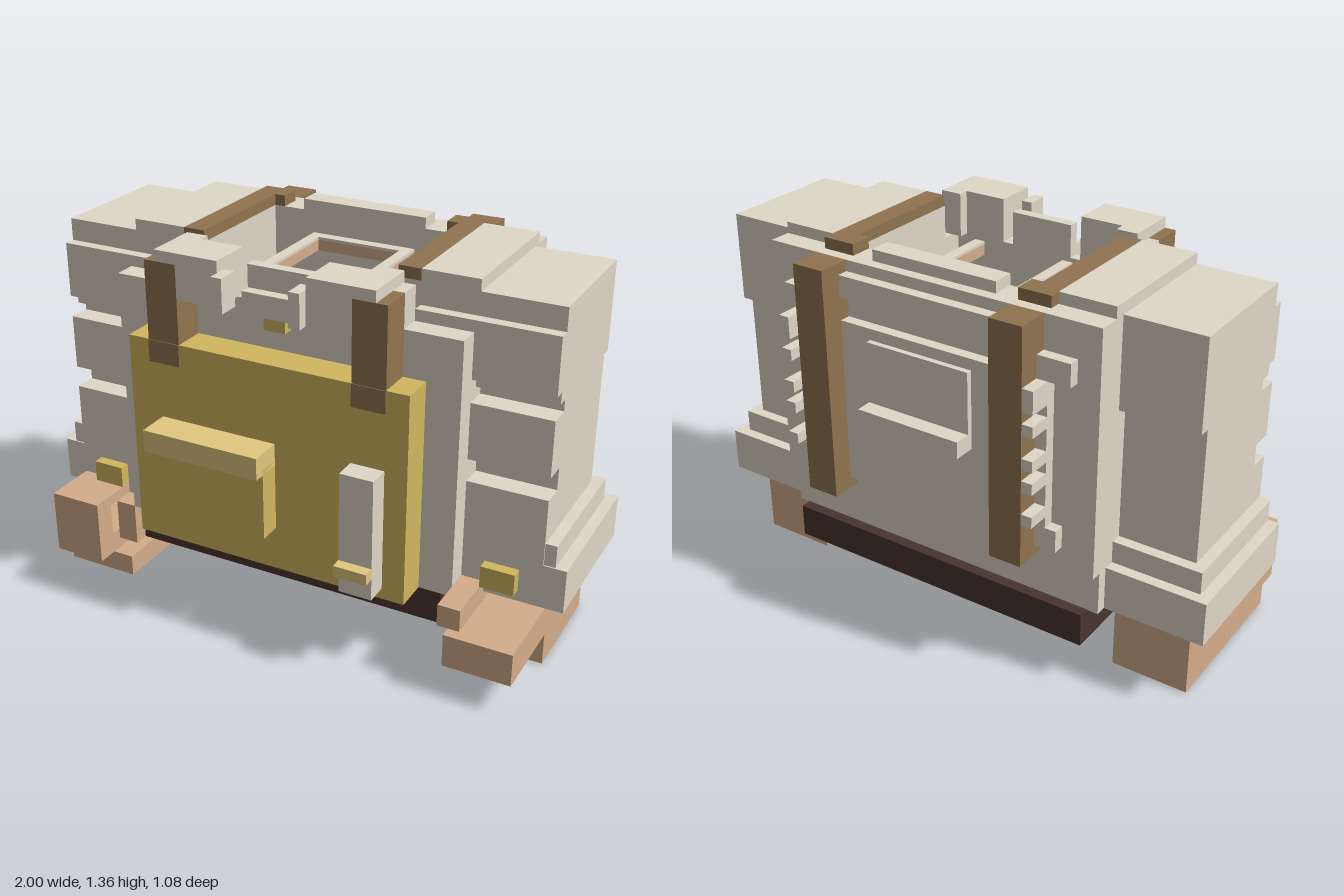
import * as THREE from 'three';

const mat = (name, color) => {
  const m = new THREE.MeshStandardMaterial({ color });
  m.name = name;
  return m;
};

export function createModel() {
  const root = new THREE.Group();
  root.name = 'armouredPack';
  const stone = mat('warm grey', 0xe0d7c7);
  const gold = mat('ochre', 0xd2b75f);
  const paleGold = mat('pale ochre', 0xe2c77f);
  const leather = mat('strap brown', 0x90744f);
  const tan = mat('hand tan', 0xd5ad8b);
  const dark = mat('dark brown', 0x49342d);

  // Box given by its extents on each axis
  const box = (name, m, x0, x1, y0, y1, z0, z1) => {
    const g = new THREE.BoxGeometry(x1 - x0, y1 - y0, z1 - z0);
    const mesh = new THREE.Mesh(g, m);
    mesh.position.set((x0 + x1) / 2, (y0 + y1) / 2, (z0 + z1) / 2);
    mesh.name = name;
    root.add(mesh);
  };
  // Same box on both sides of x = 0
  const pair = (name, m, x0, x1, ...r) => {
    box(name + 'Left', m, x0, x1, ...r);
    box(name + 'Right', m, -x1, -x0, ...r);
  };

  // Underside slab, also the floor of the hollow body
  box('floorSlab', dark, -0.6, 0.6, 0.16, 0.282, -0.42, 0.298);

  // Hollow torso walls
  box('frontWall', stone, -0.64, 0.64, 0.28, 1.2, 0.26, 0.3);
  pair('frontCorner', stone, 0.36, 0.64, 0.28, 1.2, 0.18, 0.3);
  pair('sideWall', stone, 0.36, 0.64, 0.28, 1.32, -0.38, 0.18);
  pair('shoulderCap', stone, 0.44, 0.64, 1.32, 1.36, -0.34, 0.18);
  pair('shoulderFront', stone, 0.44, 0.64, 1.2, 1.24, 0.18, 0.22);
  box('backWall', stone, -0.64, 0.64, 0.44, 1.32, -0.42, -0.3);
  box('backFoot', stone, -0.64, 0.64, 0.28, 0.44, -0.38, -0.3);
  box('backCollar', stone, -0.24, 0.24, 1.32, 1.36, -0.38, -0.3);

  // Grey-topped tan frame inside the opening
  pair('innerRail', tan, 0.16, 0.2, 1.19, 1.23, -0.3, 0.14);
  pair('innerRailTop', stone, 0.16, 0.2, 1.23, 1.24, -0.3, 0.14);
  box('innerShelf', stone, -0.16, 0.16, 1.08, 1.19, -0.3, -0.26);
  box('innerShelfTrim', tan, -0.16, 0.16, 1.19, 1.23, -0.3, -0.26);
  box('innerShelfTop', stone, -0.16, 0.16, 1.23, 1.24, -0.3, -0.26);

  // Front collar blocks, caps and clasp
  pair('collarBlock', stone, 0.16, 0.32, 1.2, 1.36, 0.26, 0.42);
  pair('collarCap', stone, 0.32, 0.4, 1.32, 1.36, 0.22, 0.42);
  pair('collarSide', stone, 0.32, 0.44, 1.2, 1.32, 0.22, 0.3);
  pair('claspProng', stone, 0.12, 0.16, 1.2, 1.32, 0.38, 0.46);
  box('clasp', stone, -0.12, 0.12, 1.16, 1.24, 0.26, 0.34);
  box('claspTop', stone, -0.12, 0.12, 1.24, 1.32, 0.26, 0.3);
  box('claspKnob', gold, -0.04, 0.04, 1.12, 1.16, 0.3, 0.34);

  // Front panel with pocket and side holder
  box('frontPanel', gold, -0.52, 0.52, 0.28, 1.04, 0.3, 0.42);
  box('pocket', gold, -0.4, 0.04, 0.44, 0.7, 0.42, 0.5);
  box('pocketFlap', paleGold, -0.4, 0.04, 0.68, 0.76, 0.42, 0.54);
  box('holder', stone, 0.32, 0.44, 0.32, 0.76, 0.42, 0.5);
  box('holderBand', paleGold, 0.32, 0.44, 0.4, 0.44, 0.5, 0.54);

  // Straps running from front over the top and down the back
  pair('strapFront', leather, 0.32, 0.44, 1.04, 1.32, 0.3, 0.42);
  pair('strapFrontEnd', leather, 0.32, 0.44, 0.96, 1.04, 0.418, 0.423);
  pair('strapTop', leather, 0.36, 0.44, 1.32, 1.36, -0.38, 0.18);
  pair('strapTopRear', leather, 0.32, 0.36, 1.32, 1.36, -0.38, -0.3);
  pair('strapBack', leather, 0.32, 0.44, 0.48, 1.32, -0.54, -0.42);

  // Back plate with raised panel, ledge, top bar and side brackets
  box('backPlate', stone, -0.48, 0.48, 0.52, 1.12, -0.46, -0.42);
  box('backPanel', stone, -0.2, 0.2, 0.84, 1.08, -0.48, -0.46);
  box('backLedge', stone, -0.2, 0.2, 0.8, 0.86, -0.54, -0.46);
  box('backBar', stone, -0.32, 0.32, 1.2, 1.28, -0.46, -0.42);
  pair('upperBracket', stone, 0.44, 0.56, 1.12, 1.2, -0.46, -0.42);
  pair('lowerBracket', stone, 0.48, 0.52, 0.52, 0.6, -0.46, -0.42);

  // Teeth beside the back straps
  for (const [y0, y1] of [[1.04, 1.12], [0.96, 1], [0.84, 0.88], [0.76, 0.8], [0.64, 0.68]]) {
    box('toothLeft', stone, 0.48, 0.52, y0, y1, -0.54, -0.42);
    box('toothRight', stone, -0.48, -0.44, y0, y1, -0.54, -0.46);
  }

  // Arms with grooved fronts and stepped cuffs
  pair('armCore', stone, 0.64, 0.92, 0.44, 1.32, -0.26, 0.14);
  pair('armUpperBack', stone, 0.64, 0.92, 1, 1.32, -0.3, -0.26);
  pair('armTopFront', stone, 0.64, 0.92, 1.24, 1.32, 0.14, 0.18);
  for (const [y0, y1, z] of [[1.04, 1.24, 0.22], [1, 1.04, 0.18], [0.76, 0.96, 0.22], [0.44, 0.68, 0.22]])
    pair('armSegment', stone, 0.64, 0.92, y0, y1, 0.14, z);
  pair('cuffStep', stone, 0.64, 0.96, 0.44, 0.52, -0.3, 0.215);
  pair('cuff', stone, 0.64, 1, 0.28, 0.44, -0.34, 0.22);
  pair('cuffStud', gold, 0.72, 0.84, 0.32, 0.4, 0.22, 0.26);

  // Left hand: fingers held straight out
  box('palmLeft', tan, 0.64, 0.92, 0, 0.28, -0.26, 0.14);
  box('fingersLeft', tan, 0.68, 0.92, 0.12, 0.24, 0.14, 0.46);
  box('thumbLeft', tan, 0.64, 0.72, 0.24, 0.32, 0.18, 0.42);

  // Right hand: a fist curled around an open grip
  box('palmRight', tan, -0.92, -0.64, 0, 0.28, -0.26, 0.06);
  box('gripFloorRight', tan, -0.92, -0.64, 0, 0.08, 0.06, 0.34);
  box('gripBaseRight', tan, -0.92, -0.72, 0.08, 0.16, 0.06, 0.34);
  box('fingersRight', tan, -0.92, -0.72, 0.08, 0.28, 0.34, 0.42);
  box('knucklesRight', tan, -0.92, -0.72, 0.28, 0.32, 0.22, 0.42);
  box('thumbRight', tan, -0.72, -0.64, 0.12, 0.28, 0.06, 0.3);

  return root;
}
